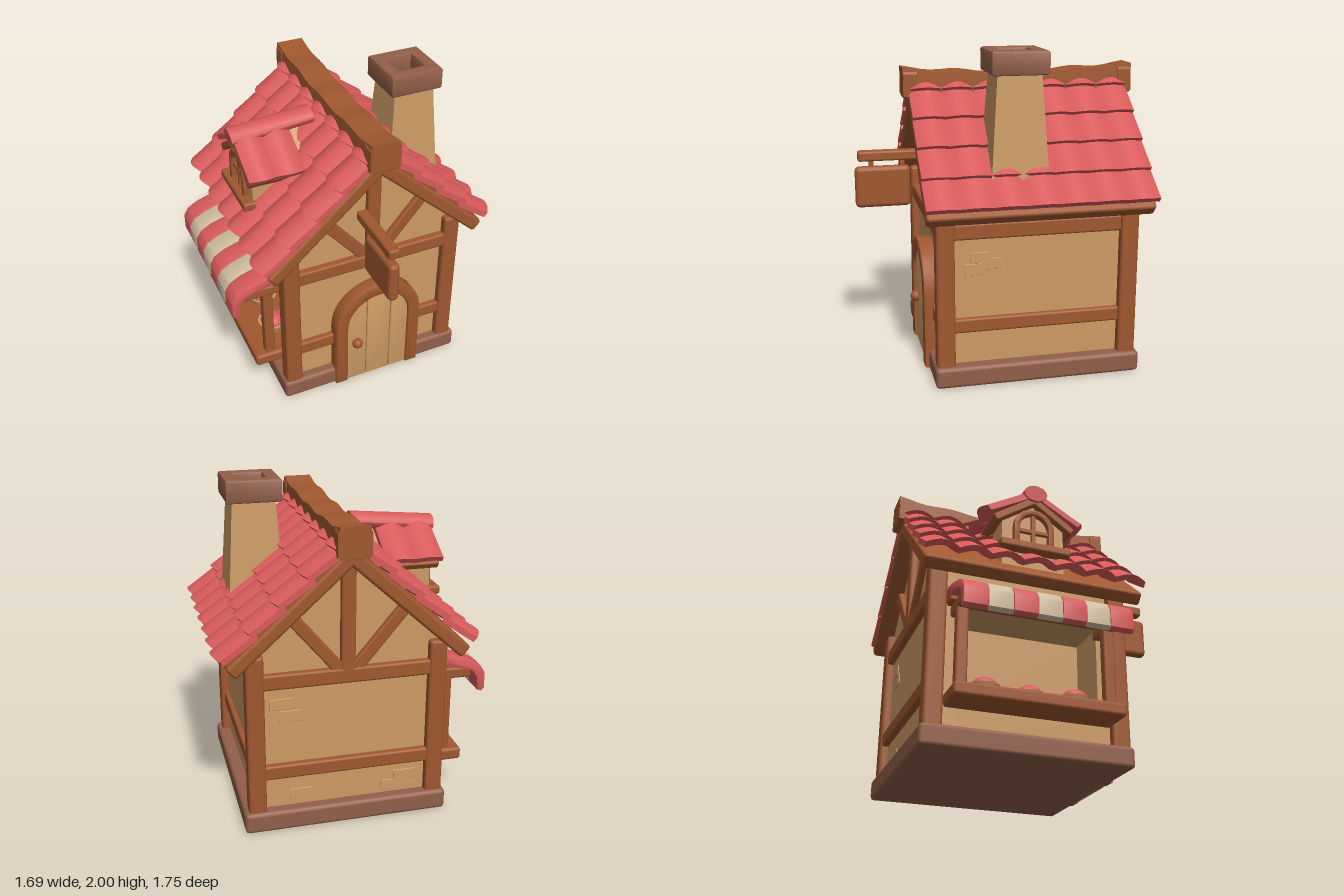
import * as THREE from 'three';
import { toCreasedNormals } from 'three/addons/utils/BufferGeometryUtils.js';
import { RoundedBoxGeometry } from 'three/addons/geometries/RoundedBoxGeometry.js';

const paint = (name, color) => {
  const m = new THREE.MeshStandardMaterial({ color });
  m.name = name;
  return m;
};

export function createModel() {
  const wood = paint('wood', 0xa0582f), red = paint('red tile', 0xd95b5b), plaster = paint('plaster', 0xcd9b65);
  const stone = paint('brown stone', 0x935f4a), cream = paint('cream cloth', 0xd2bea0);
  const house = new THREE.Group();
  house.name = 'house';
  const CX = 0.07, CZ = -0.145;   // house centre line and middle of its length

  const add = (name, geo, mat, parent = house) => {
    const m = new THREE.Mesh(geo, mat);
    m.name = name;
    parent.add(m);
    return m;
  };
  // Rounded block given by its limits
  const block = (name, mat, [x0, x1], [y0, y1], [z0, z1], r = 0.015, parent = house) => {
    const m = add(name, new RoundedBoxGeometry(x1 - x0, y1 - y0, z1 - z0, 2, r), mat, parent);
    m.position.set((x0 + x1) / 2, (y0 + y1) / 2, (z0 + z1) / 2);
    return m;
  };
  // Extrusion along z from z0 to z1, bevel included
  const extrude = (shape, z0, z1, bevel = 0) => {
    const g = new THREE.ExtrudeGeometry(shape, {
      depth: z1 - z0 - 2 * bevel, curveSegments: 16, bevelEnabled: bevel > 0,
      bevelThickness: bevel, bevelSize: bevel, bevelOffset: -bevel, bevelSegments: 2
    });
    g.translate(0, 0, z0 + bevel);
    return toCreasedNormals(g, 0.6);
  };
  const poly = pts => new THREE.Shape(pts.map(p => new THREE.Vector2(...p)));
  const archRing = (cx, y0, spring, R, r) => {
    const s = new THREE.Shape();
    s.moveTo(cx + R, y0);
    s.lineTo(cx + R, spring);
    s.absarc(cx, spring, R, 0, Math.PI, false);
    s.lineTo(cx - R, y0);
    s.lineTo(cx - r, y0);
    s.lineTo(cx - r, spring);
    s.absarc(cx, spring, r, Math.PI, 0, true);
    s.lineTo(cx + r, y0);
    return s;
  };

  // Plinth
  block('plinth', stone, [-0.55, 0.7], [0, 0.13], [-0.79, 0.485], 0.025);

  // Walls with gables; the middle stretch is notched for the shop window
  const top = [[0.62, 0.08], [0.62, 1.145], [CX, 1.64], [-0.48, 1.145]];
  const full = [[-0.48, 0.08], ...top];
  const notched = [[-0.48, 0.08], ...top, [-0.48, 0.87], [-0.2, 0.87], [-0.2, 0.3], [-0.48, 0.3]];
  add('backWall', extrude(poly(full), -0.72, -0.57), plaster);
  add('shopWall', extrude(poly(notched), -0.57, 0.29), plaster);
  add('frontWall', extrude(poly(full), 0.29, 0.42), plaster);

  // Corner posts and side beams
  for (const x of [-0.53, 0.565])
    for (const z of [-0.77, 0.36]) block('cornerPost', wood, [x, x + 0.107], [0.05, 1.12], [z, z + 0.112], 0.02);
  block('sideBeam', wood, [0.58, 0.65], [0.33, 0.42], [-0.7, 0.4]);
  block('sideBeam', wood, [0.58, 0.65], [0.91, 1.01], [-0.7, 0.4]);
  block('shopLintel', wood, [-0.56, -0.44], [0.87, 0.98], [-0.65, 0.37]);

  // Gable timbers, same on both ends
  const strut = (x0, y0, x1, y1, w, z) => {
    const m = add('gableBrace', new RoundedBoxGeometry(Math.hypot(x1 - x0, y1 - y0), w, 0.05, 2, 0.012), wood);
    m.position.set((x0 + x1) / 2, (y0 + y1) / 2, z);
    m.rotation.z = Math.atan2(y1 - y0, x1 - x0);
  };
  for (const z of [0.43, -0.73]) {
    block('lowerBeam', wood, [-0.45, 0.59], [0.33, 0.42], [z - 0.03, z + 0.028]);
    block('tieBeam', wood, [-0.45, 0.59], [0.905, 1.0], [z - 0.03, z + 0.035]);
    block('kingPost', wood, [CX - 0.043, CX + 0.043], [0.98, 1.64], [z - 0.03, z + 0.03]);
    for (const s of [-1, 1]) strut(CX + s * 0.03, 0.97, CX + s * 0.34, 1.34, 0.075, z);
  }

  // Raised bricks in the plaster
  for (const [z, y] of [[0.2, 0.79], [0.24, 0.72], [0.13, 0.75]])
    block('sideBrick', plaster, [0.617, 0.626], [y - 0.035, y + 0.035], [z - 0.06, z + 0.06], 0.003);
  for (const [x, y] of [[0.46, 0.8], [0.41, 0.72], [-0.3, 0.24], [-0.22, 0.18], [0.35, 0.2]])
    block('backBrick', plaster, [x - 0.07, x + 0.07], [y - 0.035, y + 0.035], [-0.727, -0.718], 0.003);

  // Barrel tile: x runs down the slope, its low end is lifted over the next one
  const tileGeo = (len, w) => {
    const g = new THREE.BoxGeometry(len, 0.036, w, 3, 1, 8), p = g.attributes.position;
    for (let i = 0; i < p.count; i++) {
      const t = p.getX(i) / len + 0.5, c = Math.cos(Math.PI * p.getZ(i) / w);
      p.setX(i, (t - 1) * len - (t > 0.9 ? 0.02 * (1 - c) : 0));
      p.setY(i, p.getY(i) + 0.012 + 0.028 * t + 0.036 * c);
    }
    g.computeVertexNormals();
    return toCreasedNormals(g, 0.8);
  };
  // Frame whose x axis runs down a roof slope
  const slope = (name, pos, yaw, pitch) => {
    const outer = new THREE.Group(), inner = new THREE.Group();
    outer.name = name;
    outer.position.set(...pos);
    outer.rotation.y = yaw;
    inner.rotation.z = -pitch;
    outer.add(inner);
    house.add(outer);
    return inner;
  };

  // Main roof
  const pitch = 0.733, cos = Math.cos(pitch), tile = tileGeo(0.26, 0.2), topTile = tileGeo(0.13, 0.2);
  for (const yaw of [0, Math.PI]) {
    const side = slope('mainRoof', [CX, 1.735, CZ], yaw, pitch);
    block('roofBoard', wood, [-0.02, 0.97], [-0.085, 0], [-0.685, 0.685], 0.02, side);
    for (let row = 0; row < 5; row++)
      for (let col = -3; col <= 3; col++) {
        const t = add('roofTile', row ? tile : topTile, red, side);
        t.position.set((0.07 + 0.163 * row) / cos, 0.008, col * 0.197);
      }
  }

  // Ridge beam with a wavy top, flared at both ends
  const ridge = new RoundedBoxGeometry(0.195, 0.17, 1.45, 6, 0.03);
  const wavy = new THREE.BoxGeometry(0.195, 0.17, 1.45, 1, 1, 24), wp = wavy.attributes.position;
  for (let i = 0; i < wp.count; i++) {
    const z = wp.getZ(i), u = Math.abs(z) / 0.725;
    wp.setY(i, wp.getY(i) + 0.035 * u * u + 0.008 * Math.cos(z * 17) - 0.012);
    wp.setX(i, wp.getX(i) * (wp.getY(i) > 0 ? 0.9 : 1));
  }
  wavy.computeVertexNormals();
  add('ridgeBeam', toCreasedNormals(wavy, 0.6), wood).position.set(CX, 1.745, CZ);
  ridge.scale(1, 1, 0.06);
  for (const z of [-0.825, 0.535]) add('ridgeEnd', ridge, wood).position.set(CX, 1.762, z);

  // Chimney
  const shaft = new THREE.CylinderGeometry(0.13 * Math.SQRT2, 0.178 * Math.SQRT2, 0.72, 4, 1);
  shaft.rotateY(Math.PI / 4);
  add('chimney', toCreasedNormals(shaft, 0.5), plaster).position.set(0.495, 1.52, -0.03);
  const sq = h => [[-h, -h], [h, -h], [h, h], [-h, h]];
  const capShape = poly(sq(0.168));
  capShape.holes.push(new THREE.Path(sq(0.088).reverse().map(p => new THREE.Vector2(...p))));
  const cap = add('chimneyCap', extrude(capShape, 0, 0.14, 0.015), stone);
  cap.rotation.x = -Math.PI / 2;
  cap.position.set(0.495, 1.86, -0.03);
  block('flueFloor', stone, [0.39, 0.6], [1.87, 1.89], [-0.135, 0.075], 0.005);

  // Front door
  const DX = 0.1, spring = 0.475;
  add('doorFrame', extrude(archRing(DX, 0.01, spring, 0.3, 0.215), 0.4, 0.512, 0.015), wood);
  const edges = [-0.125, 0.022, 0.19, 0.325];
  for (let i = 0; i < 3; i++) {
    const a = edges[i] + 0.003, b = edges[i + 1] - 0.003, pts = [[a, 0.005], [b, 0.005]];
    for (let k = 0; k <= 8; k++) {
      const x = b + (a - b) * k / 8;
      pts.push([x, spring + Math.sqrt(Math.max(0, 0.23 ** 2 - (x - DX) ** 2))]);
    }
    add('doorPlank', extrude(poly(pts), 0.4, 0.492, 0.006), plaster);
  }
  add('doorKnob', new THREE.SphereGeometry(0.035, 16, 12), wood).position.set(-0.05, 0.325, 0.505);

  // Hanging sign
  block('signRod', wood, [-0.035, 0.037], [1.27, 1.335], [0.42, 0.86]);
  block('signBoard', wood, [-0.035, 0.035], [0.97, 1.235], [0.53, 0.88], 0.03);
  for (const z of [0.58, 0.775]) block('signLink', wood, [-0.012, 0.012], [1.22, 1.28], [z - 0.015, z + 0.015], 0.006);

  // Dormer body and window; local z points out of the window (-x)
  const dormer = new THREE.Group();
  dormer.name = 'dormer';
  dormer.position.set(0, 0, CZ);
  dormer.rotation.y = -Math.PI / 2;
  house.add(dormer);
  const face = poly([[-0.2, 1.15], [0.2, 1.15], [0.2, 1.5], [0, 1.65], [-0.2, 1.5]]);
  add('dormerWall', extrude(face, 0.1, 0.555), plaster, dormer);
  add('dormerWindowFrame', extrude(archRing(0, 1.31, 1.44, 0.13, 0.092), 0.53, 0.59, 0.008), wood, dormer);
  block('windowBar', wood, [-0.014, 0.014], [1.31, 1.54], [0.54, 0.575], 0.006, dormer);
  block('windowBar', wood, [-0.1, 0.1], [1.405, 1.433], [0.54, 0.575], 0.006, dormer);
  block('windowSill', wood, [-0.225, 0.225], [1.265, 1.32], [0.5, 0.622], 0.015, dormer);

  // Dormer roof
  const smallTile = tileGeo(0.35, 0.18);
  for (const s of [-1, 1]) {
    const side = slope('dormerRoof', [-0.425, 1.665, CZ], -s * Math.PI / 2, 0.6);
    block('dormerBoard', wood, [-0.01, 0.325], [-0.05, 0], [-0.17, 0.17], 0.012, side);
    for (const x of [-0.088, 0.088]) add('dormerTile', smallTile, red, side).position.set(0.35, 0, x);
  }
  const ridgeTile = new THREE.CylinderGeometry(0.075, 0.075, 0.53, 14);
  ridgeTile.rotateZ(Math.PI / 2);
  ridgeTile.scale(1, 0.7, 1);
  const rt = add('dormerRidge', toCreasedNormals(ridgeTile, 0.6), red);
  rt.position.set(-0.355, 1.695, CZ);
  rt.rotation.z = 0.09;

  // Striped awning
  const cloth = poly([[-0.5, 0.98], [-0.62, 0.955], [-0.73, 0.92], [-0.8, 0.88], [-0.83, 0.83], [-0.83, 0.73],
    [-0.81, 0.71], [-0.785, 0.72], [-0.775, 0.81], [-0.74, 0.855], [-0.62, 0.89], [-0.5, 0.91]]);
  for (let i = 0; i < 7; i++) {
    const z = -0.653 + i * 0.1463;
    add('awningStripe', extrude(cloth, z, z + 0.1463, 0.008), i % 2 ? cream : red);
  }

  // Shop counter with posts and brackets
  block('counter', wood, [-0.7, -0.18], [0.25, 0.33], [-0.65, 0.37], 0.02);
  for (const z of [-0.59, 0.31]) {
    block('awningPost', wood, [-0.625, -0.56], [0.31, 0.85], [z - 0.035, z + 0.035]);
    block('awningBracket', wood, [-0.75, -0.46], [0.8, 0.87], [z - 0.035, z + 0.035]);
  }

  // Pies on the counter
  for (const [x, z] of [[-0.5, -0.42], [-0.47, -0.14], [-0.5, 0.13]]) {
    const pie = new THREE.Group();
    pie.name = 'pie';
    pie.position.set(x, 0.33, z);
    house.add(pie);
    add('pieCrust', new THREE.CylinderGeometry(0.095, 0.07, 0.06, 16), plaster, pie).position.y = 0.03;
    const dome = add('pieFilling', new THREE.SphereGeometry(0.078, 16, 8, 0, Math.PI * 2, 0, Math.PI / 2), red, pie);
    dome.position.y = 0.06;
    dome.scale.y = 0.7;
  }
  return house;
}
